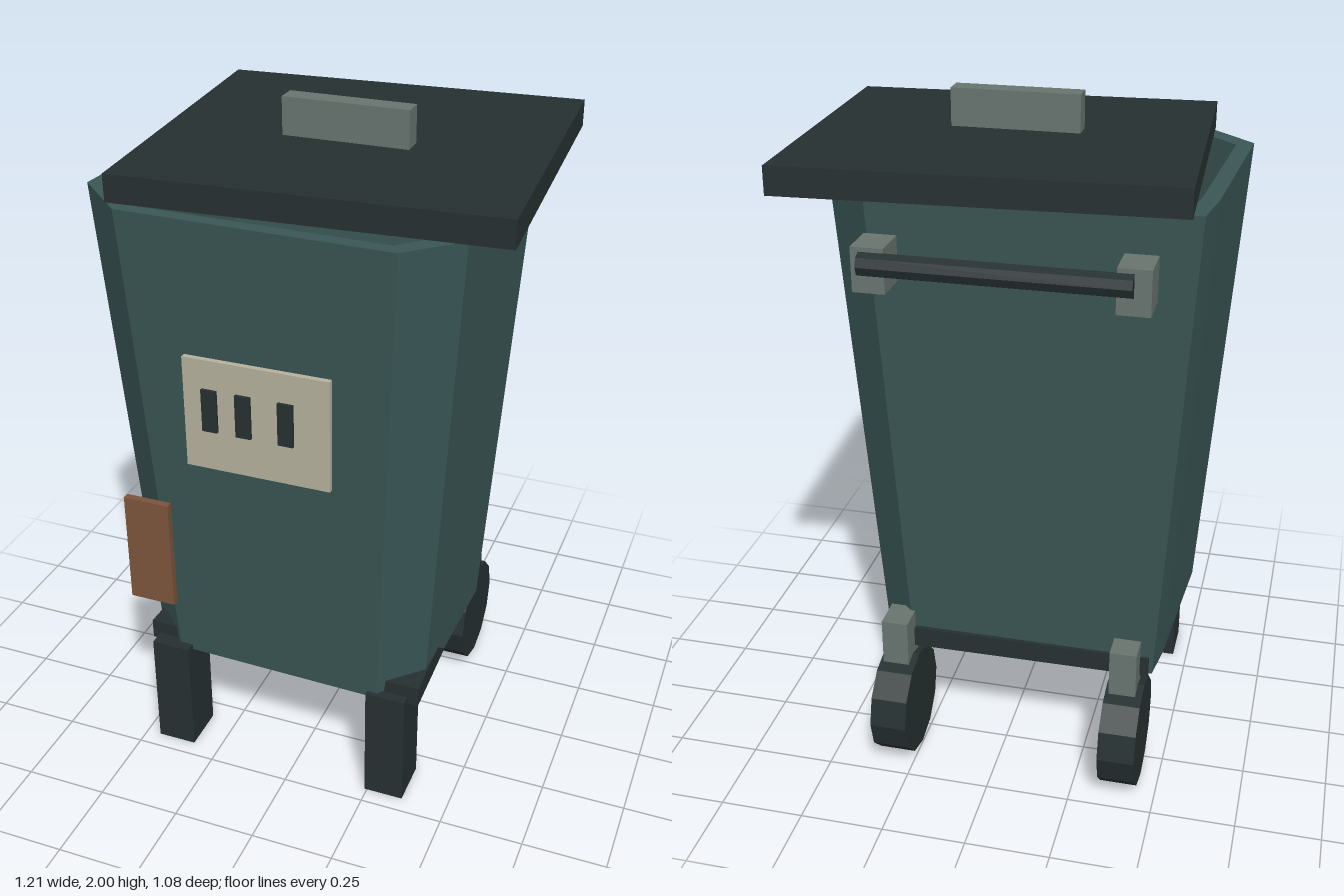
import * as THREE from 'three';

const mat = (name, color) => {
  const m = new THREE.MeshStandardMaterial({ color });
  m.name = name;
  return m;
};

// Skins a stack of rings of [x, y, z] points and caps both ends.
function loft(rings) {
  const pos = [];
  const tri = (a, b, c) => pos.push(...a, ...b, ...c);
  const n = rings[0].length;
  for (let r = 0; r < rings.length - 1; r++) {
    for (let i = 0; i < n; i++) {
      const j = (i + 1) % n, lo = rings[r], hi = rings[r + 1];
      tri(lo[i], lo[j], hi[j]);
      tri(lo[i], hi[j], hi[i]);
    }
  }
  const first = rings[0], last = rings[rings.length - 1];
  for (let i = 1; i < n - 1; i++) {
    tri(first[0], first[i + 1], first[i]);
    tri(last[0], last[i], last[i + 1]);
  }
  const g = new THREE.BufferGeometry();
  g.setAttribute('position', new THREE.Float32BufferAttribute(pos, 3));
  g.computeVertexNormals();
  return g;
}

export function createModel() {
  const group = new THREE.Group();
  group.name = 'wheeledBin';
  const teal = mat('bin teal', 0x3a5655);
  const dark = mat('dark plastic', 0x263031);
  const grey = mat('grey metal', 0x68746f);
  const cream = mat('label cream', 0xb5b19d);
  const rust = mat('rust patch', 0x7c543c);

  const add = (name, geometry, material) => {
    const mesh = new THREE.Mesh(geometry, material);
    mesh.name = name;
    group.add(mesh);
    return mesh;
  };
  // Box given by its low and high limits on each axis.
  const box = (name, material, [x0, x1], [y0, y1], [z0, z1]) => {
    const mesh = add(name, new THREE.BoxGeometry(x1 - x0, y1 - y0, z1 - z0), material);
    mesh.position.set((x0 + x1) / 2, (y0 + y1) / 2, (z0 + z1) / 2);
    return mesh;
  };

  // Tapered hollow body with uneven chamfered corners
  const rim = [[-0.605, 0.345], [-0.445, 0.5], [0.338, 0.52], [0.475, 0.385],
    [0.49, -0.235], [0.35, -0.367], [-0.55, -0.37], [-0.57, -0.22]];
  const ring = (y, k) => rim.map(([x, z]) => [x * k - 0.008 * (1.8 - y) / 1.45, y, z * k + 0.006 * (1.8 - y) / 1.45]);
  add('body', loft([ring(0.352, 0.823), ring(1.8, 1), ring(1.8, 0.918), ring(0.43, 0.76)]), teal);

  // Base slab, slightly skewed so its corners show past the chamfers
  const base = [[-0.48, 0.4], [0.395, 0.42], [0.375, -0.315], [-0.45, -0.31]];
  const slab = (y) => base.map(([x, z]) => [x, y, z]);
  add('base', loft([slab(0.348), slab(0.41)]), dark);

  // Crooked lid and its grip
  const lid = add('lid', new THREE.BoxGeometry(1.08, 0.078, 0.96), dark);
  lid.position.set(0.035, 1.855, -0.03);
  lid.rotation.set(0.02, 0.055, 0);
  box('lidGrip', grey, [-0.16, 0.205], [1.88, 2], [-0.015, 0.045]);

  // Front legs, rear wheels and the brackets, on the same two lines
  for (const x of [-0.395, 0.302]) {
    box('frontLeg', dark, [x - 0.06, x + 0.06], [0, 0.37], [0.31, 0.45]);
    const wheel = add('wheel', new THREE.CylinderGeometry(0.166, 0.166, 0.11, 12).toNonIndexed(), dark);
    wheel.geometry.computeVertexNormals();
    wheel.rotation.z = Math.PI / 2;
    wheel.position.set(x + 0.005, 0.167, -0.335);
    box('wheelBracket', grey, [x - 0.03, x + 0.05], [0.32, 0.465], [-0.382, -0.28]);
    box('handleBracket', grey, [x - 0.045, x + 0.045], [1.565, 1.69], [-0.487, -0.375]);
  }

  // Rear push bar
  const bar = add('pushBar', new THREE.CylinderGeometry(0.033, 0.033, 0.72, 8).toNonIndexed(), dark);
  bar.geometry.computeVertexNormals();
  bar.rotation.z = Math.PI / 2;
  bar.position.set(-0.035, 1.645, -0.486);

  // Label plate with three slots, and the loose patch
  box('labelPlate', cream, [-0.255, 0.165], [1.095, 1.425], [0.513, 0.529]);
  for (const x of [-0.178, -0.08, 0.042]) {
    box('labelSlot', dark, [x - 0.022, x + 0.022], [1.215, 1.34], [0.529, 0.538]);
  }
  box('rustPatch', rust, [-0.49, -0.35], [0.565, 0.91], [0.468, 0.49]);

  return group;
}
